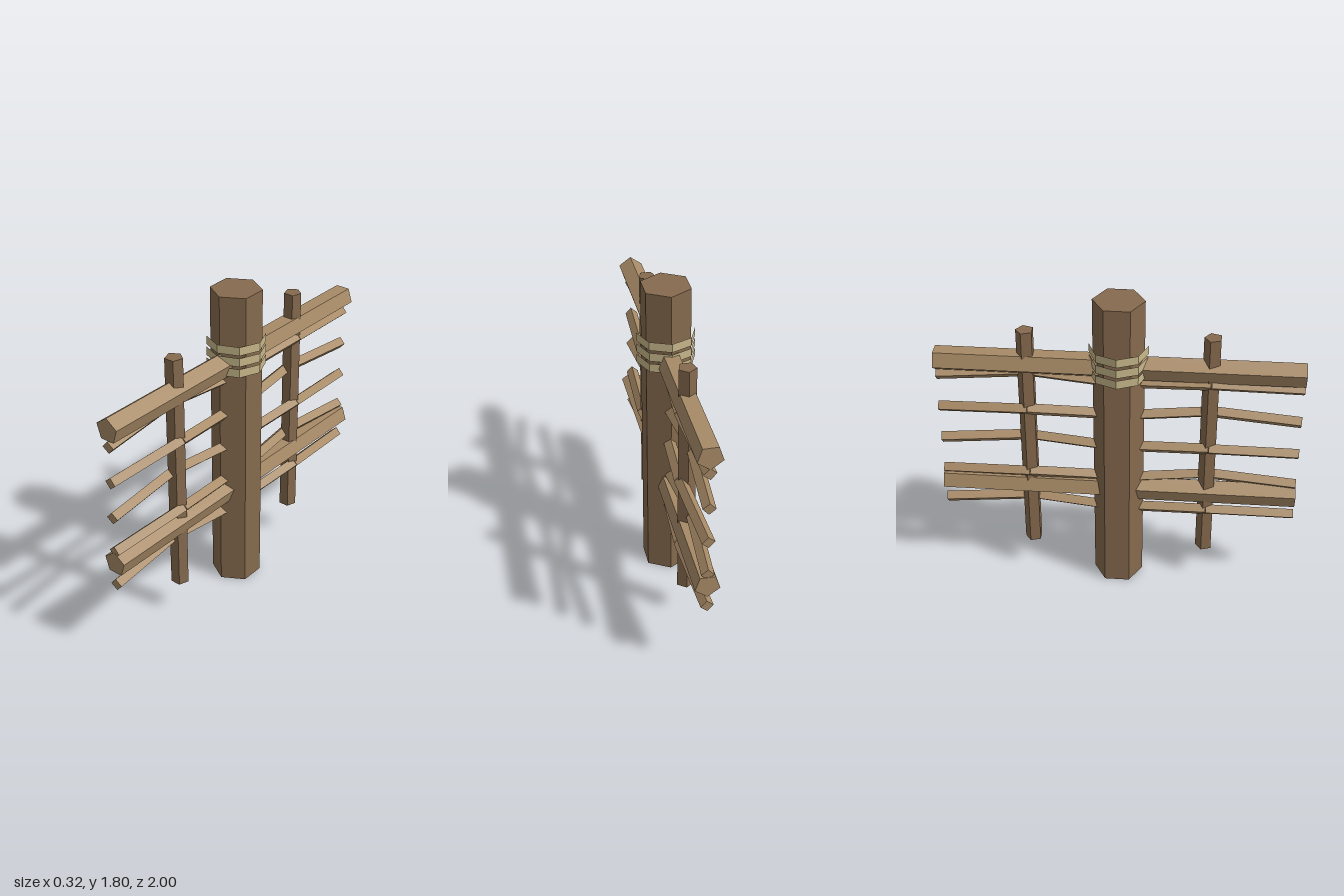
import * as THREE from 'three';

const UP = new THREE.Vector3(0, 1, 0);

export function createModel() {
  const model = new THREE.Group();
  const mat = (name, color) => {
    const m = new THREE.MeshStandardMaterial({ color, flatShading: true });
    m.name = name;
    return m;
  };
  const darkWood = mat('dark wood', 0x866a4e);
  const paleWood = mat('pale wood', 0xa88b67);
  const rope = mat('rope', 0xc8b88a);

  const add = (name, geometry, material, x = 0, y = 0, z = 0) => {
    const mesh = new THREE.Mesh(geometry, material);
    mesh.name = name;
    mesh.position.set(x, y, z);
    model.add(mesh);
    return mesh;
  };

  // Faceted pole between two points
  const pole = (name, a, b, radius, sides, material) => {
    const dir = b.clone().sub(a);
    const mesh = add(name, new THREE.CylinderGeometry(radius, radius, dir.length(), sides), material);
    mesh.position.copy(a).add(b).multiplyScalar(0.5);
    mesh.quaternion.setFromUnitVectors(UP, dir.normalize());
  };

  // Central post
  add('post', new THREE.CylinderGeometry(0.14, 0.14, 1.8, 6), darkWood, 0, 0.9, 0);

  // Rope wraps: open bands around the post
  for (let i = 0; i < 3; i++) {
    add('ropeWrap', new THREE.CylinderGeometry(0.16, 0.16, 0.05, 8, 1, true), rope, 0, 1.38 + i * 0.065, 0);
  }

  for (const side of [1, -1]) {
    // Upright stake
    const stake = add('stake', new THREE.CylinderGeometry(0.05, 0.05, 1.4, 5), darkWood, 0, 0.9, side * 0.5);
    stake.rotation.y = Math.PI;

    // Thick rails running into the post
    for (const y of [0.6, 1.4]) {
      const rail = add('rail', new THREE.CylinderGeometry(0.07, 0.07, 0.95, 5), paleWood, 0, y, side * 0.525);
      rail.rotation.x = -side * Math.PI / 2;
    }

    // Thin branches bent alternately around the stake
    for (let i = 0; i < 5; i++) {
      const y = 0.463 + i * 0.21;
      const bend = (i % 2 ? 1 : -1) * side * 0.03;
      const outer = new THREE.Vector3(0, y, side * 0.998);
      const middle = new THREE.Vector3(bend, y + 0.025, side * 0.5);
      const inner = new THREE.Vector3(0, y, side * 0.08);
      pole('outerBranch', outer, middle, 0.035, 4, paleWood);
      pole('innerBranch', middle, inner, 0.035, 4, paleWood);
    }
  }
  return model;
}
